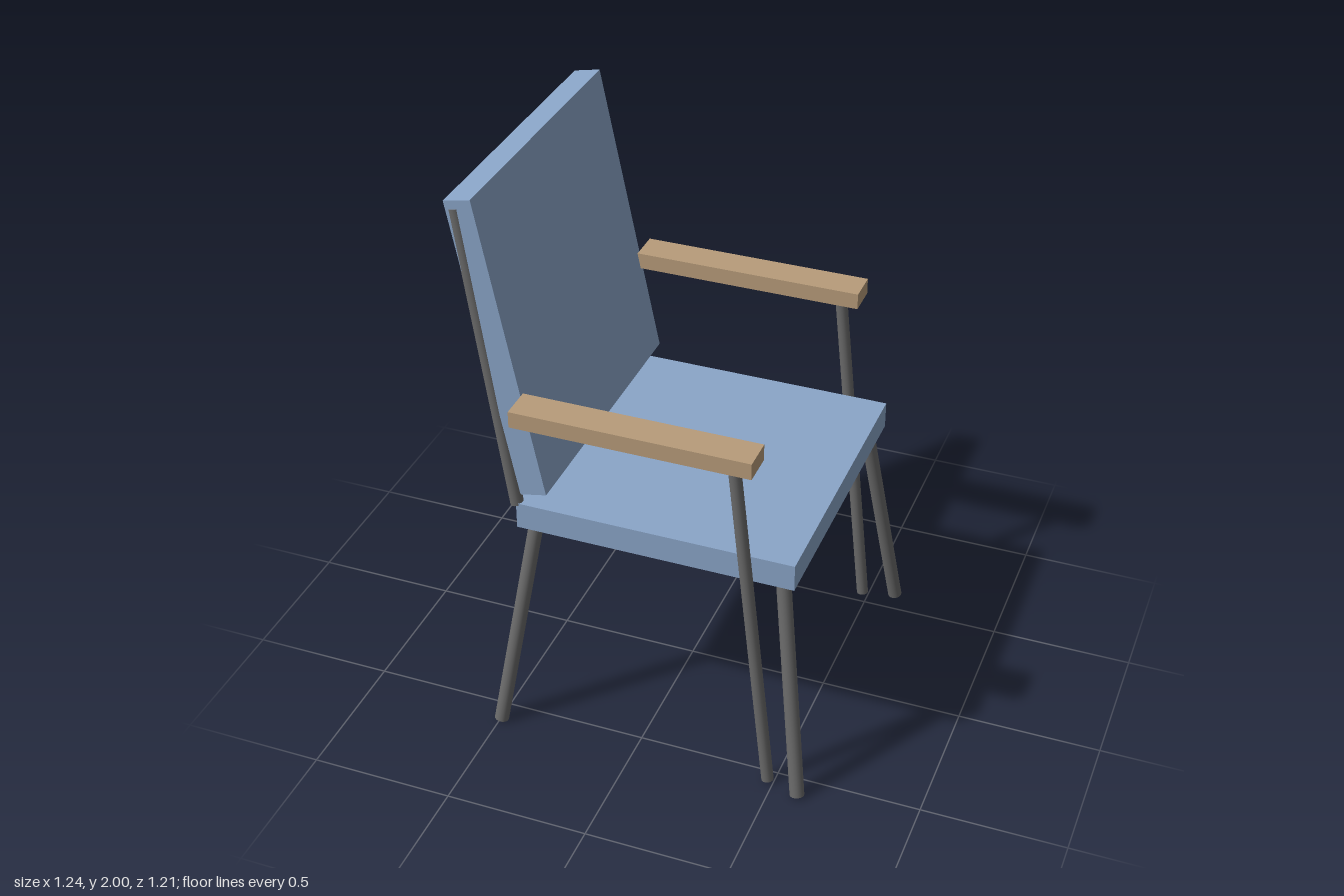
import * as THREE from 'three';

const fabric = new THREE.MeshStandardMaterial({ color: 0x8aa5c8 });
const wood = new THREE.MeshStandardMaterial({ color: 0xb89c7a });
const metal = new THREE.MeshStandardMaterial({ color: 0x6a6a6a });

// Straight round tube between two points
function rod(name, from, to, radius) {
  const a = new THREE.Vector3(...from);
  const b = new THREE.Vector3(...to);
  const dir = b.clone().sub(a);
  const mesh = new THREE.Mesh(new THREE.CylinderGeometry(radius, radius, dir.length(), 16), metal);
  mesh.name = name;
  mesh.position.copy(a).add(b).multiplyScalar(0.5);
  mesh.quaternion.setFromUnitVectors(new THREE.Vector3(0, 1, 0), dir.normalize());
  return mesh;
}

function box(name, size, position, material) {
  const mesh = new THREE.Mesh(new THREE.BoxGeometry(...size), material);
  mesh.name = name;
  mesh.position.set(...position);
  return mesh;
}

export function createModel() {
  const chair = new THREE.Group();
  chair.name = 'armchair';

  // Seat and reclined backrest
  chair.add(box('seat', [0.97, 0.096, 1.012], [0.053, 0.847, 0], fabric));
  const back = box('backrest', [0.094, 1.066, 1.012], [-0.472, 1.468, 0], fabric);
  back.rotation.z = 0.198;
  chair.add(back);

  for (const s of [1, -1]) {
    const side = s > 0 ? 'Left' : 'Right';

    // Splayed legs under the seat
    chair.add(rod('seatLegOpenEnd' + side, [0.595, 0.004, s * 0.582], [0.485, 0.802, s * 0.457], 0.025));
    chair.add(rod('seatLegBackrestEnd' + side, [-0.495, 0.004, s * 0.582], [-0.382, 0.802, s * 0.457], 0.025));

    // Post along the edge of the backrest
    chair.add(rod('backPost' + side, [-0.436, 0.885, s * 0.488], [-0.592, 1.957, s * 0.488], 0.023));

    // Armrest with its long support leg
    chair.add(rod('armrestLeg' + side, [0.478, 0.007, s * 0.547], [0.345, 1.255, s * 0.547], 0.021));
    chair.add(box('armrest' + side, [0.815, 0.058, 0.116], [0.013, 1.295, s * 0.546], wood));
  }
  return chair;
}
